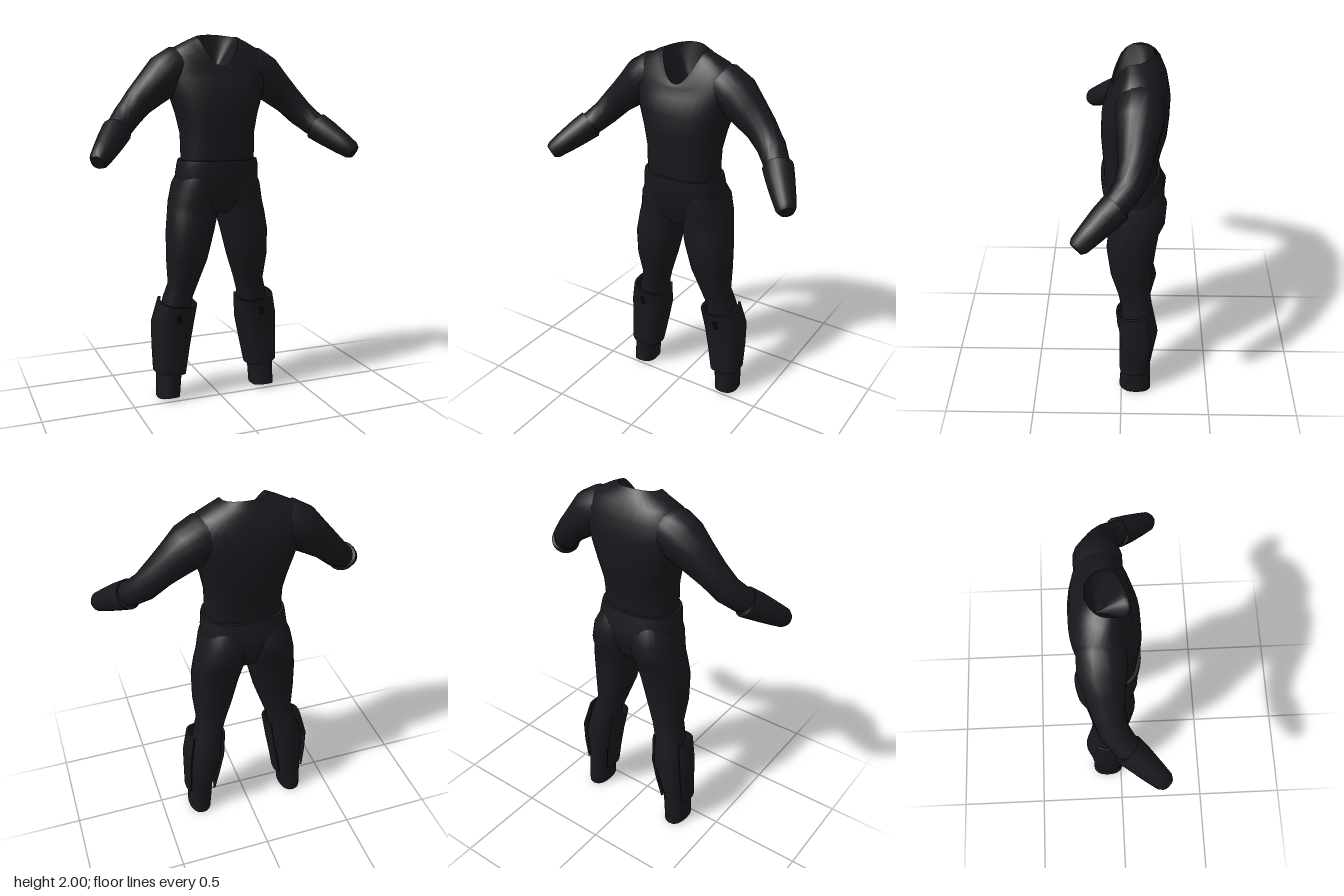
import * as THREE from 'three';
import { toCreasedNormals } from 'three/addons/utils/BufferGeometryUtils.js';

const fabric = new THREE.MeshStandardMaterial({ color: 0x17181c, side: THREE.DoubleSide });
const slotMat = new THREE.MeshStandardMaterial({ color: 0x060608 });
const V = (x, y, z) => new THREE.Vector3(x, y, z);

// Skin a list of closed rings, with optional fan caps at the start and end.
function loft(rings, capStart, capEnd, crease = 0.7) {
  const n = rings[0].length, pos = [], idx = [];
  rings.forEach(r => r.forEach(p => pos.push(p.x, p.y, p.z)));
  for (let i = 0; i < rings.length - 1; i++) {
    for (let j = 0; j < n; j++) {
      const a = i * n + j, b = i * n + (j + 1) % n;
      idx.push(a, b, b + n, a, b + n, a + n);
    }
  }
  const cap = (i, flip) => {
    const c = V(0, 0, 0);
    rings[i].forEach(p => c.addScaledVector(p, 1 / n));
    const ci = pos.length / 3;
    pos.push(c.x, c.y, c.z);
    for (let j = 0; j < n; j++) {
      const a = i * n + j, b = i * n + (j + 1) % n;
      flip ? idx.push(ci, b, a) : idx.push(ci, a, b);
    }
  };
  if (capStart) cap(0, true);
  if (capEnd) cap(rings.length - 1, false);
  const g = new THREE.BufferGeometry();
  g.setAttribute('position', new THREE.Float32BufferAttribute(pos, 3));
  g.setIndex(idx);
  return toCreasedNormals(g, crease);
}

// Rounded horizontal outline; its front and back may sit at other heights than its sides.
function outline(x0, x1, zf, zb, y, yf = y, yb = y, pow = 2.3, n = 28) {
  const soft = t => Math.sign(t) * Math.pow(Math.abs(t), 2 / pow);
  return Array.from({ length: n }, (_, i) => {
    const a = i / n * Math.PI * 2, c = Math.cos(a);
    return V(
      (x0 + x1) / 2 + (x1 - x0) / 2 * soft(Math.sin(a)),
      y + ((c > 0 ? yf : yb) - y) * c * c,
      (zf + zb) / 2 + (zf - zb) / 2 * soft(c));
  });
}

// Round tube through stations [x, y, z, radius].
function limb(stations, n = 18) {
  const pts = stations.map(s => V(s[0], s[1], s[2]));
  const rings = stations.map((s, i) => {
    const t = pts[Math.min(i + 1, pts.length - 1)].clone().sub(pts[Math.max(i - 1, 0)]).normalize();
    const u = V(0, 1, 0).addScaledVector(t, -t.y).normalize();
    const v = t.clone().cross(u);
    return Array.from({ length: n }, (_, j) => {
      const a = j / n * Math.PI * 2;
      return pts[i].clone().addScaledVector(u, s[3] * Math.cos(a)).addScaledVector(v, s[3] * Math.sin(a));
    });
  });
  return loft(rings, true, true);
}

function add(parent, name, geometry, material = fabric) {
  const m = new THREE.Mesh(geometry, material);
  m.name = name;
  parent.add(m);
  return m;
}

// Shin guard: a thin strip swept round the leg, open at the back.
function shinGuard() {
  const rows = [[0.56, 0.12, 0.335, 0.03, -0.17], [0.43, 0.135, 0.366, 0.012, -0.2],
    [0.3, 0.16, 0.366, 0.01, -0.19], [0.16, 0.185, 0.364, 0.01, -0.165]];
  const rings = [], steps = 26, open = 2.25;
  for (let i = 0; i <= steps; i++) {
    const a = -open + 2 * open * i / steps, s = Math.sin(a), c = Math.cos(a);
    const soft = t => Math.sign(t) * Math.pow(Math.abs(t), 0.8);
    const at = ([y, x0, x1, zf, zb], k) => V(
      (x0 + x1) / 2 + (x1 - x0) / 2 * k * soft(s),
      y + 0.012 * s - (y > 0.5 ? 0.015 * c : 0),
      (zf + zb) / 2 + (zf - zb) / 2 * k * soft(c));
    rings.push([...rows.map(r => at(r, 1)), ...rows.slice().reverse().map(r => at(r, 0.87))]);
  }
  return loft(rings, true, true, 0.6);
}

// Arm, leg and guards of one side.
function makeSide(name) {
  const side = new THREE.Group();
  side.name = name;
  add(side, 'sleeve', limb([
    [0.14, 1.84, -0.085, 0.095], [0.21, 1.825, -0.088, 0.115], [0.275, 1.785, -0.088, 0.116],
    [0.35, 1.72, -0.08, 0.097], [0.43, 1.65, -0.068, 0.08], [0.5, 1.575, -0.045, 0.072],
    [0.55, 1.525, 0.0, 0.066], [0.6, 1.475, 0.06, 0.06]]));
  add(side, 'forearmCuff', limb([
    [0.566, 1.51, 0.012, 0.062], [0.568, 1.507, 0.015, 0.077], [0.61, 1.468, 0.07, 0.071],
    [0.66, 1.42, 0.133, 0.06], [0.697, 1.385, 0.18, 0.05], [0.709, 1.374, 0.195, 0.036]]));

  // Trouser leg: height, inner x, outer x, front z, back z
  const leg = [
    [0.2, 0.205, 0.345, 0.0, -0.165], [0.42, 0.155, 0.335, 0.0, -0.203],
    [0.58, 0.14, 0.3, 0.0, -0.17], [0.66, 0.115, 0.275, 0.018, -0.157], [0.8, 0.067, 0.287, 0.06, -0.165],
    [0.95, 0.03, 0.286, 0.08, -0.183], [1.05, 0.003, 0.274, 0.07, -0.198], [1.11, -0.01, 0.262, 0.07, -0.228],
    [1.21, -0.01, 0.24, 0.09, -0.235], [1.3, 0, 0.2, 0.08, -0.19]];
  add(side, 'trouserLeg', loft([
    outline(0.222, 0.348, 0.012, -0.17, 0.015, 0.03, 0.005),
    outline(0.22, 0.348, 0.01, -0.17, 0.04, 0.05, 0.035),
    ...leg.map(([y, x0, x1, f, b]) => outline(x0, x1, f, b, y))], true, true));

  add(side, 'shinGuard', shinGuard());
  const slot = add(side, 'shinGuardSlot', new THREE.BoxGeometry(0.028, 0.05, 0.012), slotMat);
  slot.position.set(0.245, 0.48, 0.016);
  slot.rotation.x = 0.13;
  return side;
}

export function createModel() {
  const model = new THREE.Group();
  model.name = 'bodysuit';

  // Jacket up to the V-shaped collar, then down into the neck hollow:
  // half width, front z, back z, side height, front height, back height
  const jacket = [
    [0.2, 0.09, -0.18, 1.3], [0.2, 0.095, -0.185, 1.4], [0.2, 0.1, -0.2, 1.48], [0.22, 0.106, -0.225, 1.58],
    [0.253, 0.1, -0.233, 1.68], [0.28, 0.075, -0.235, 1.78, 1.765],
    [0.28, 0.06, -0.22, 1.86, 1.79, 1.86], [0.232, 0.056, -0.195, 1.928, 1.81, 1.925],
    [0.16, 0.05, -0.172, 1.967, 1.824, 1.965], [0.115, 0.046, -0.152, 1.985, 1.83, 2.0],
    [0.1, 0.025, -0.146, 1.95, 1.815, 1.96], [0.004, -0.1, -0.108, 1.79]];
  add(model, 'jacket', loft(jacket.map(([w, f, b, y, yf, yb]) =>
    outline(-w, w, f, b, y, yf, yb, y > 1.95 ? 2 : 2.5, 36)), true, true));

  // Trouser seat with a raised waistband edge
  const seat = [
    [0.1, 0.04, -0.17, 1.06], [0.17, 0.07, -0.2, 1.11], [0.228, 0.098, -0.224, 1.21], [0.226, 0.105, -0.218, 1.26],
    [0.22, 0.11, -0.203, 1.32], [0.214, 0.109, -0.198, 1.345], [0.19, 0.085, -0.175, 1.345]];
  add(model, 'trouserSeat', loft(seat.map(([w, f, b, y]) =>
    outline(-w, w, f, b, y, y, y, 2.5, 36)), true, false));

  const left = makeSide('leftSide'), right = makeSide('rightSide');
  right.scale.x = -1;
  model.add(left, right);
  return model;
}
